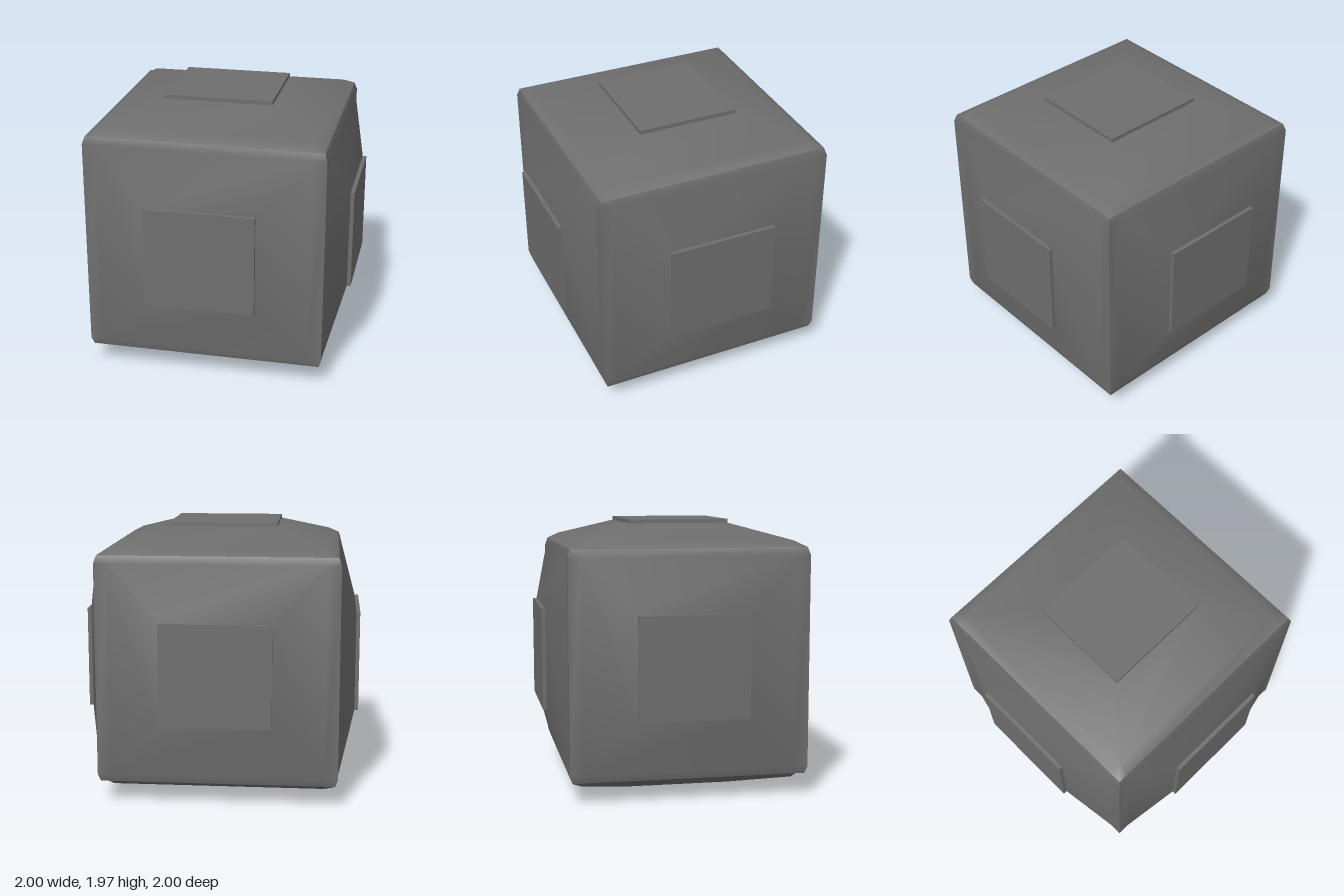
import * as THREE from 'three';

const material = new THREE.MeshStandardMaterial({ color: 0x6e6e6e });

const PAD_U = 0.394, PAD_V = 0.367, PAD_W = 0.972; // flat plateau of every face
const PAD_DEPTH = 0.028;
const INNER = 0.76;                                // foot of the sloping frame

// One bulged face looking along +z: a 4 x 4 grid whose middle cell rises to a plateau.
// edge(col, row) gives [u, v, w] of a grid point; col and row run over -2, -1, 1, 2.
function bulgedFace(edge) {
  const steps = [-2, -1, 1, 2];
  const points = [];
  for (const row of steps) for (const col of steps) points.push(...edge(col, row));
  for (const v of [-PAD_V, PAD_V]) for (const u of [-PAD_U, PAD_U]) points.push(u, v, PAD_W);

  const index = [];
  const quad = (a, b, c, d) => index.push(a, b, c, a, c, d);
  for (let r = 0; r < 3; r++) {
    for (let c = 0; c < 3; c++) {
      if (r === 1 && c === 1) continue;
      const a = r * 4 + c;
      quad(a, a + 1, a + 5, a + 4);
    }
  }
  // sloping frame and plateau
  const foot = [5, 6, 10, 9], rim = [16, 17, 19, 18];
  for (let i = 0; i < 4; i++) {
    const n = (i + 1) % 4;
    quad(foot[i], foot[n], rim[n], rim[i]);
  }
  quad(...rim);

  const geometry = new THREE.BufferGeometry();
  geometry.setAttribute('position', new THREE.Float32BufferAttribute(points, 3));
  geometry.setIndex(index);
  geometry.computeVertexNormals();
  return geometry;
}

// Walls: straight upright corners, tapering in at the top and bottom edges
function wallEdge(col, row) {
  const outerCol = Math.abs(col) === 2, outerRow = Math.abs(row) === 2;
  const u = outerCol ? (outerRow ? 0.84 : 0.858) : INNER;
  return [Math.sign(col) * u, Math.sign(row) * (outerRow ? 0.815 : INNER), outerRow ? 0.84 : 0.858];
}

// Top and bottom: a small bevel all the way round
function capEdge(col, row) {
  const size = (k) => Math.sign(k) * (Math.abs(k) === 2 ? 0.84 : INNER);
  const outer = Math.abs(col) === 2 || Math.abs(row) === 2;
  return [size(col), size(row), outer ? 0.815 : 0.858];
}

export function createModel() {
  const model = new THREE.Group();
  model.name = 'paddedCube';

  const wall = bulgedFace(wallEdge);
  const cap = bulgedFace(capEdge);
  const padGeometry = new THREE.BoxGeometry(PAD_U * 2, PAD_V * 2, PAD_DEPTH);

  // name, geometry, turn about x, turn about y, has a raised pad
  const sides = [
    ['front', wall, 0, 0, true],
    ['left', wall, 0, Math.PI / 2, true],
    ['back', wall, 0, Math.PI, true],
    ['right', wall, 0, -Math.PI / 2, true],
    ['top', cap, -Math.PI / 2, 0, true],
    ['bottom', cap, Math.PI / 2, 0, false],
  ];
  for (const [name, geometry, rx, ry, hasPad] of sides) {
    const side = new THREE.Group();
    side.name = name + 'Side';
    const face = new THREE.Mesh(geometry, material);
    face.name = name + 'Face';
    side.add(face);
    if (hasPad) {
      const pad = new THREE.Mesh(padGeometry, material);
      pad.name = name + 'Pad';
      pad.position.z = PAD_W + PAD_DEPTH / 2;
      side.add(pad);
    }
    side.rotation.set(rx, ry, 0);
    side.position.y = PAD_W;
    model.add(side);
  }
  return model;
}
